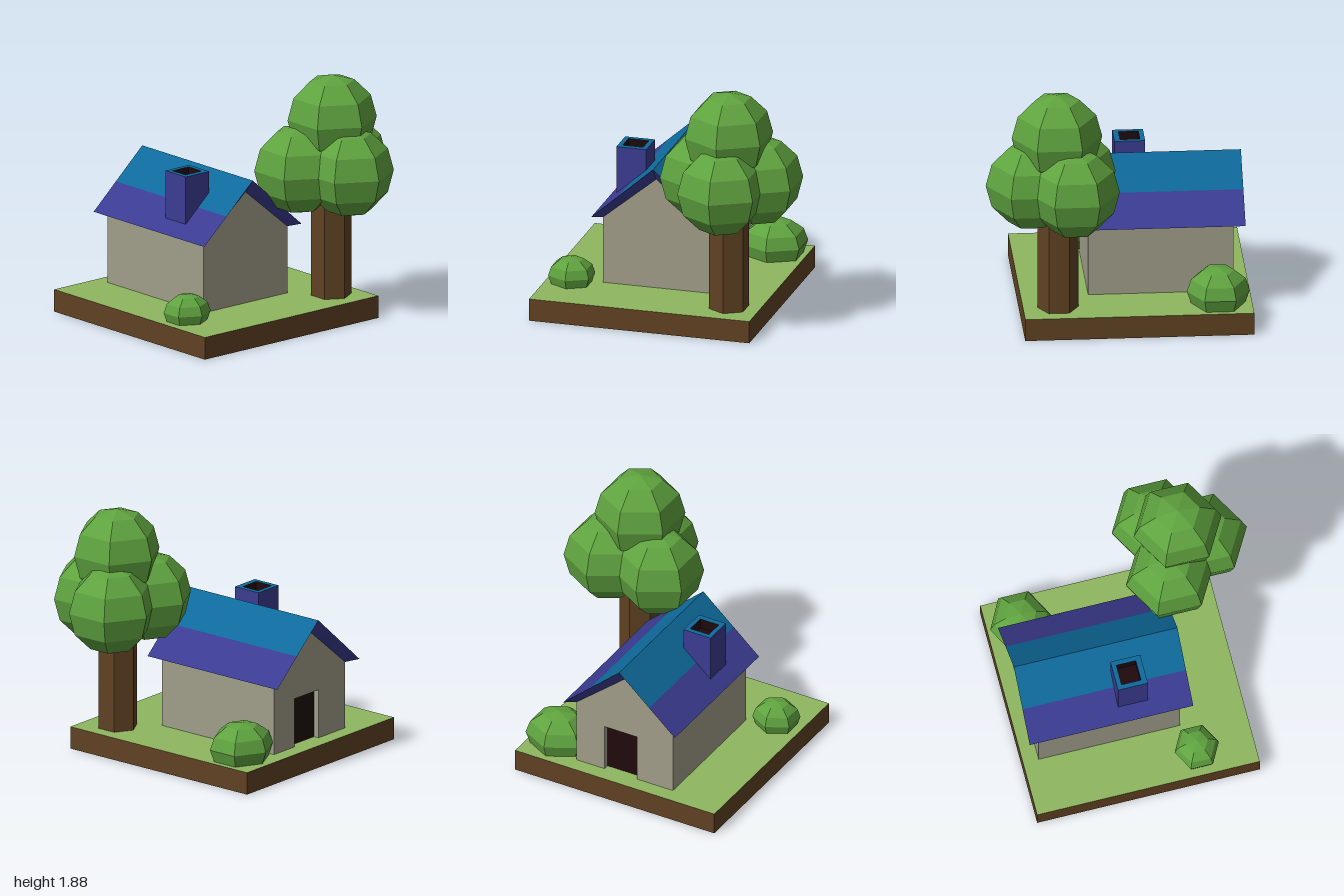
import * as THREE from 'three';

const mat = (name, color, side = THREE.FrontSide) =>
  Object.assign(new THREE.MeshStandardMaterial({ color, side, flatShading: true }), { name });

const GROUND = 0.172;

// Flat-shaded mesh from a list of four-cornered faces (counter-clockwise)
function quadMesh(name, quads, material) {
  const pos = quads.flatMap(([a, b, c, d]) => [a, b, c, a, c, d].flat());
  const g = new THREE.BufferGeometry();
  g.setAttribute('position', new THREE.Float32BufferAttribute(pos, 3));
  g.computeVertexNormals();
  const m = new THREE.Mesh(g, material);
  m.name = name;
  return m;
}

// Faces joining two rows of points; closed rows wrap round
function band(a, b, closed = false) {
  const out = [];
  for (let i = 0; i < a.length - (closed ? 0 : 1); i++) {
    const j = (i + 1) % a.length;
    out.push([a[i], a[j], b[j], b[i]]);
  }
  return out;
}

// Horizontal rectangle, counter-clockwise from above
const rect = (x0, x1, z0, z1, y) => [[x0, y, z1], [x1, y, z1], [x1, y, z0], [x0, y, z0]];

export function createModel() {
  const model = new THREE.Group();
  model.name = 'cottageScene';
  const brown = mat('wood and soil brown', 0x5f4122, THREE.DoubleSide);
  const grass = mat('grass green', 0x8db660, THREE.DoubleSide);
  const leaf = mat('leaf green', 0x5fa33f);
  const stone = mat('wall stone', 0xa09d89);
  const navy = mat('roof navy', 0x3b3c92);
  const teal = mat('roof blue', 0x0e6a9c);
  const dark = mat('dark opening', 0x1f0a0c);

  const add = (name, geometry, material, parent = model) => {
    const m = new THREE.Mesh(geometry, material);
    m.name = name;
    parent.add(m);
    return m;
  };

  // Ground plot: hollow soil rim with a lawn on top
  const lawn = rect(-0.99, 0.725, -1, 0.715, GROUND);
  model.add(quadMesh('soilRim', band(rect(-0.99, 0.725, -1, 0.715, 0), lawn, true), brown));
  model.add(quadMesh('lawn', [lawn], grass));

  // House walls: solid body, plus a back slice with a doorway cut in it
  const house = new THREE.Group();
  house.name = 'house';
  model.add(house);
  const L = -0.565, R = 0.265, EAVE = 0.69, RIDGE = 1.035, MID = -0.15;
  const FRONT = 0.21, BACK = -0.88, RECESS = 0.05;
  const doorL = -0.255, doorR = 0.025, doorTop = 0.55;
  const gable = [[R, GROUND], [R, EAVE], [MID, RIDGE], [L, EAVE], [L, GROUND]];
  const doorway = [[doorL, GROUND], [doorL, doorTop], [doorR, doorTop], [doorR, GROUND]];
  const slab = (name, points, depth, z) => {
    const shape = new THREE.Shape(points.map(p => new THREE.Vector2(...p)));
    add(name, new THREE.ExtrudeGeometry(shape, { depth, bevelEnabled: false }), stone, house).position.z = z;
  };
  slab('walls', gable, FRONT - BACK - RECESS, BACK + RECESS);
  slab('backWall', [...gable, ...doorway], RECESS, BACK);
  add('door', new THREE.BoxGeometry(doorR - doorL, doorTop - GROUND, 0.006), dark, house)
    .position.set((doorL + doorR) / 2, (doorTop + GROUND) / 2, BACK + RECESS - 0.002);

  // Roof: outer profile overhangs and bevels back to the walls
  const outer = [[-0.63, 0.715], [-0.41, 0.91], [MID, 1.14], [0.1, 0.919], [0.33, 0.715]];
  const inner = [[L, EAVE], [(L + MID) / 2, (EAVE + RIDGE) / 2], [MID, RIDGE],
    [(R + MID) / 2, (EAVE + RIDGE) / 2], [R, EAVE]];
  const at = (profile, z) => profile.map(([x, y]) => [x, y, z]);
  const rows = [at(inner, FRONT), at(outer, 0.295), at(outer, -0.965), at(inner, BACK)];
  const slopes = band(rows[1], rows[2]);
  house.add(quadMesh('upperRoof', [slopes[1], slopes[2]], teal));
  house.add(quadMesh('lowerRoof', [slopes[0], slopes[3]], navy));
  house.add(quadMesh('roofTrim', [
    ...band(rows[0], rows[1]), ...band(rows[2], rows[3]),
    rows.map(r => r[0]), rows.map(r => r[4]).reverse(),
  ], navy));

  // Chimney: sides, top rim and dark flue
  const outside = y => rect(-0.532, -0.3, -0.26, -0.03, y);
  const flue = y => rect(-0.496, -0.337, -0.223, -0.074, y);
  house.add(quadMesh('chimney', band(outside(0.77), outside(1.17), true), navy));
  house.add(quadMesh('chimneyRim', band(outside(1.17), flue(1.17), true), teal));
  house.add(quadMesh('chimneyFlue', [...band(flue(1.17), flue(1.09), true), flue(1.09)], dark));

  // Tree: six-sided trunk reaching just under the lawn, four leafy clumps
  const tree = new THREE.Group();
  tree.name = 'tree';
  model.add(tree);
  add('trunk', new THREE.CylinderGeometry(0.153, 0.153, 0.98, 6), brown, tree).position.set(0.488, 0.62, 0.453);

  // Six-sided faceted ball with corners towards front and back
  const ball = (rx, ry, rz, thetaLength = Math.PI, rowsCount = 6) =>
    new THREE.SphereGeometry(1, 6, rowsCount, 0, Math.PI * 2, 0, thetaLength)
      .rotateY(Math.PI / 2).scale(rx, ry, rz);
  const clumps = [[0.49, 1.54, 0.46], [0.49, 1.165, 0.655], [0.262, 1.165, 0.343], [0.69, 1.165, 0.343]];
  clumps.forEach(p => add('foliage', ball(0.339, 0.34, 0.339), leaf, tree).position.set(...p));

  // Bushes: flattened balls cut off at the lawn
  const bushes = [
    { size: [0.26, 0.19, 0.236], pos: [0.487, 0.267, -0.748] },
    { size: [0.183, 0.137, 0.17], pos: [-0.788, 0.241, 0.281] },
  ];
  bushes.forEach(({ size, pos }) =>
    add('bush', ball(...size, Math.PI * 2 / 3, 4), leaf).position.set(...pos));

  return model;
}
